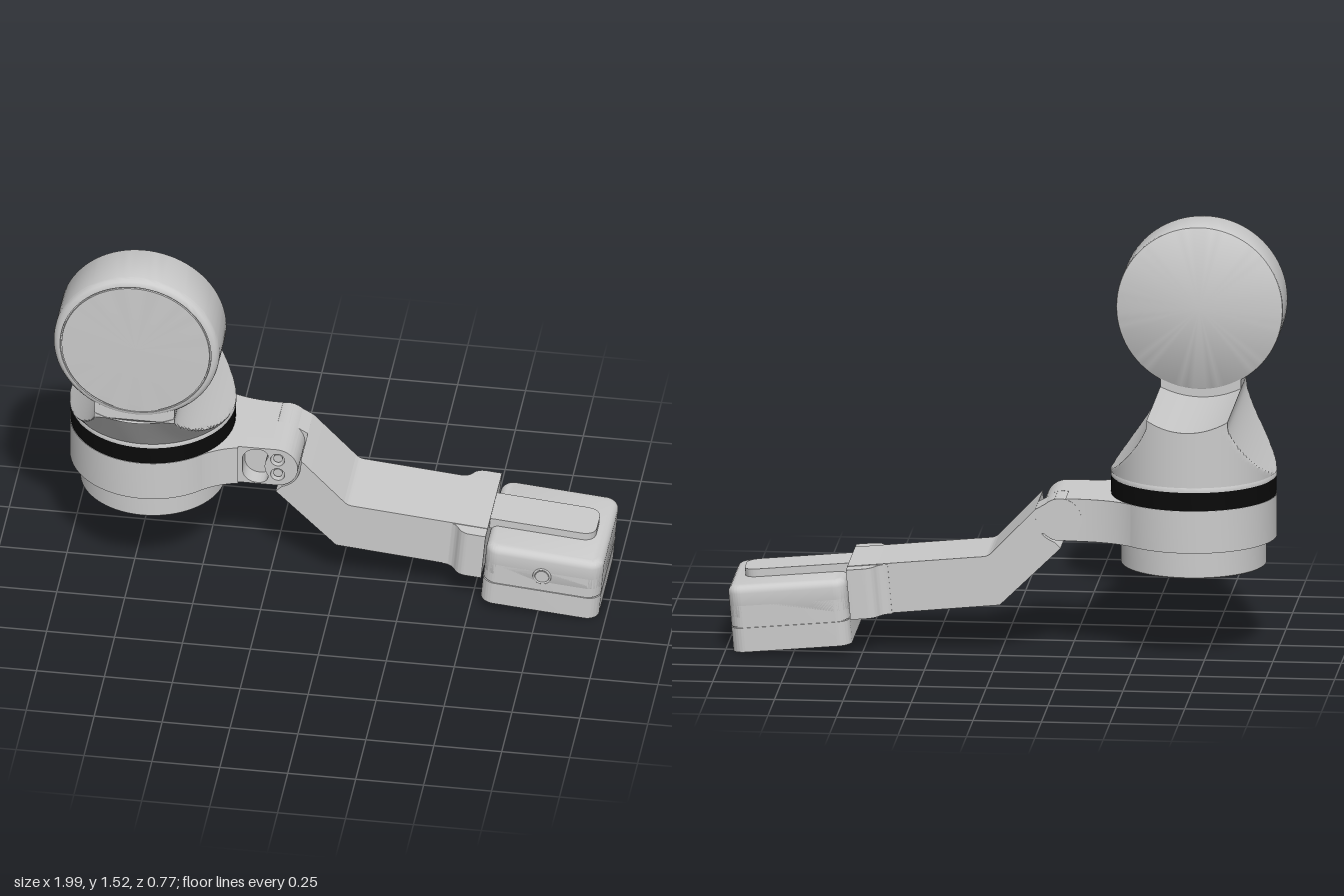
import * as THREE from 'three';
import { toCreasedNormals } from 'three/addons/utils/BufferGeometryUtils.js';

const grey = new THREE.MeshStandardMaterial({ color: 0xcccccc });
const black = new THREE.MeshStandardMaterial({ color: 0x0a0a0a });
const CX = -0.695, CZ = -0.08, R = 0.303; // axis and radius of the round base

function add(parent, name, geometry, material = grey) {
  const mesh = new THREE.Mesh(geometry, material);
  mesh.name = name;
  parent.add(mesh);
  return mesh;
}
const smooth = (g) => toCreasedNormals(g, 0.6);
const poly = (pts) => new THREE.Shape(pts.map(([x, y]) => new THREE.Vector2(x, y)));

// Side profile (x, y) extruded between two z values
function sideExtrude(shape, z0, z1) {
  const g = new THREE.ExtrudeGeometry(shape, { depth: z1 - z0, bevelEnabled: false, curveSegments: 24 });
  return smooth(g.translate(0, 0, z0));
}
// Plan shape (x, -z) extruded between two heights, optionally with rounded rims
function planExtrude(shape, y0, y1, bevel = 0) {
  const g = new THREE.ExtrudeGeometry(shape, {
    depth: y1 - y0 - 2 * bevel, curveSegments: 16, bevelEnabled: bevel > 0,
    bevelThickness: bevel, bevelSize: bevel, bevelOffset: -bevel, bevelSegments: 5,
  });
  return smooth(g.rotateX(-Math.PI / 2).translate(0, y0 + bevel, 0));
}
function roundedRect(x0, y0, x1, y1, r) {
  const s = new THREE.Shape();
  s.absarc(x1 - r, y0 + r, r, -Math.PI / 2, 0);
  s.absarc(x1 - r, y1 - r, r, 0, Math.PI / 2);
  s.absarc(x0 + r, y1 - r, r, Math.PI / 2, Math.PI);
  s.absarc(x0 + r, y0 + r, r, Math.PI, Math.PI * 1.5);
  return s;
}
function lathe(pts) {
  return smooth(new THREE.LatheGeometry(pts.map(([r, y]) => new THREE.Vector2(r, y)), 80));
}

// Shoulder: round at the foot, pinched to a saddle-topped neck that leans forward
function shoulderGeometry() {
  const N = 144, rows = 24, y0 = 0.685, y1 = 0.925, pos = [], idx = [];
  for (let j = 0; j <= rows; j++) {
    const y = y0 + ((y1 - y0) * j) / rows;
    const u = Math.min(1, (y - y0) / 0.22);
    const w = 0.148 + (R - 0.148) * Math.pow(1 - u, 1.4);
    for (let i = 0; i < N; i++) {
      const t = (i / N) * Math.PI * 2;
      const x = THREE.MathUtils.clamp(R * Math.sin(t), -w, w);
      const edge = Math.sqrt(Math.max(1e-8, R * R - x * x));
      let z = R * Math.cos(t);
      if (z > 0) z = Math.min(1, z / edge) * THREE.MathUtils.lerp(edge, 0.465, u);
      const saddle = 1.22 - Math.sqrt(0.33 * 0.33 - x * x);
      pos.push(CX + x, Math.min(y, saddle), CZ + z);
    }
  }
  for (let j = 0; j < rows; j++) for (let i = 0; i < N; i++) {
    const a = j * N + i, b = j * N + ((i + 1) % N);
    idx.push(a, b, b + N, a, b + N, a + N);
  }
  // Saddle top joins front and back points of equal x
  const top = (i) => rows * N + ((i + N) % N);
  for (let i = -N / 4; i < N / 4; i++) {
    const f0 = top(i), f1 = top(i + 1), b0 = top(N / 2 - i), b1 = top(N / 2 - i - 1);
    idx.push(f0, f1, b1, f0, b1, b0);
  }
  const g = new THREE.BufferGeometry();
  g.setAttribute('position', new THREE.Float32BufferAttribute(pos, 3));
  g.setIndex(idx);
  return smooth(g);
}

function createHead() {
  const head = new THREE.Group();
  head.name = 'head';
  // Round housing with softened front rim and a fine groove
  const disc = add(head, 'discHousing', lathe([
    [0, 0], [0.297, 0], [0.303, 0.004], [0.305, 0.01], [0.305, 0.18], [0.303, 0.19], [0.296, 0.2],
    [0.287, 0.206], [0.278, 0.207], [0.277, 0.201], [0.273, 0.201], [0.272, 0.207], [0, 0.207],
  ]));
  disc.rotation.x = Math.PI / 2;
  disc.position.set(-0.69, 1.22, 0.178);
  add(head, 'shoulder', shoulderGeometry());
  // Short neck bridging the shoulder and the disc
  const neck = poly([[-0.18, 0.87], [-0.18, 0.97], [-0.38, 0.97], [-0.383, 0.905], [-0.352, 0.87]]);
  const g = new THREE.ExtrudeGeometry(neck, { depth: 0.294, bevelEnabled: false });
  add(head, 'neck', g.rotateY(Math.PI / 2).translate(CX - 0.147, 0, 0));
  return head;
}

function createBase() {
  const base = new THREE.Group();
  base.name = 'base';
  const turned = (name, pts, mat) => add(base, name, lathe(pts), mat).position.set(CX, 0, CZ);
  turned('foot', [[0, 0.347], [0.18, 0.347], [0.18, 0.337], [0.262, 0.337], [0.265, 0.34], [0.265, 0.445]]);
  turned('holderRing', [[0, 0.44], [R, 0.44], [R, 0.598], [0, 0.598]]);
  turned('blackBand', [[R - 0.002, 0.596], [R - 0.002, 0.668]], black);
  turned('lip', [[0.28, 0.667], [R, 0.667], [R, 0.68], [R - 0.003, 0.686], [0.28, 0.686]]);

  // Bracket flowing out of the ring
  const s = new THREE.Shape();
  s.moveTo(-0.6, -CZ - 0.2);
  s.lineTo(-0.485, -CZ - 0.218);
  s.quadraticCurveTo(-0.425, -CZ - 0.168, -0.36, -CZ - 0.156);
  s.lineTo(-0.36, 0);
  s.lineTo(-0.24, 0);
  s.lineTo(-0.24, 0.232);
  s.quadraticCurveTo(-0.4, -CZ + 0.15, -0.485, -CZ + 0.218);
  s.lineTo(-0.6, -CZ + 0.2);
  add(base, 'bracket', planExtrude(s, 0.44, 0.598));

  // Hinge tab with a kidney pocket and two screw holes
  const tab = () => {
    const t = new THREE.Shape();
    t.moveTo(-0.36, 0.44);
    t.lineTo(-0.22, 0.44);
    t.absarc(-0.22, 0.519, 0.079, -Math.PI / 2, Math.PI / 2);
    t.lineTo(-0.36, 0.598);
    return t;
  };
  add(base, 'hingeTabCore', sideExtrude(tab(), -0.11, 0));
  const face = tab();
  const pocket = new THREE.Path();
  pocket.moveTo(-0.345, 0.5);
  pocket.bezierCurveTo(-0.345, 0.43, -0.245, 0.43, -0.25, 0.48);
  pocket.quadraticCurveTo(-0.275, 0.52, -0.25, 0.56);
  pocket.bezierCurveTo(-0.245, 0.605, -0.345, 0.605, -0.345, 0.54);
  face.holes.push(pocket);
  for (const y of [0.488, 0.552]) {
    face.holes.push(new THREE.Path().absarc(-0.215, y, 0.026, 0, Math.PI * 2));
    const screw = add(base, 'screw', new THREE.CylinderGeometry(0.017, 0.017, 0.06, 24));
    screw.rotation.x = Math.PI / 2;
    screw.position.set(-0.215, y, 0.026);
  }
  add(base, 'hingeTabFace', sideExtrude(face, 0, 0.066));
  return base;
}

function createArm() {
  const arm = new THREE.Group();
  arm.name = 'arm';
  // Bent bar with a hollow following the hinge
  const s = new THREE.Shape();
  s.moveTo(-0.222, 0.412);
  s.lineTo(0, 0.195);
  s.lineTo(0.54, 0.142);
  s.lineTo(0.558, 0.327);
  s.lineTo(0.06, 0.375);
  s.quadraticCurveTo(0.04, 0.377, 0.025, 0.395);
  s.lineTo(-0.13, 0.557);
  s.quadraticCurveTo(-0.125, 0.46, -0.2, 0.435);
  add(arm, 'bentBar', sideExtrude(s, -0.235, 0.065));
  // Rear knuckle
  const knuckle = add(arm, 'rearKnuckle', new THREE.CylinderGeometry(0.079, 0.079, 0.124, 40));
  knuckle.rotation.x = Math.PI / 2;
  knuckle.position.set(-0.22, 0.519, -0.172);
  add(arm, 'knuckleWeb', sideExtrude(poly([[-0.2, 0.455], [-0.1, 0.48], [-0.128, 0.555], [-0.2, 0.596]]), -0.234, -0.11));
  return arm;
}

// Box at the arm's end, tilted with the arm
function createEndUnit() {
  const unit = new THREE.Group();
  unit.name = 'endUnit';
  unit.position.set(0.765, 0.152, -0.087);
  unit.rotation.z = -0.09;
  const box = (inset) => roundedRect(-0.218 + inset, -0.221 + inset, 0.218 - inset, 0.221 - inset, 0.05);
  add(unit, 'boxLower', planExtrude(box(0), -0.123, -0.033));
  add(unit, 'boxSeam', planExtrude(box(0.004), -0.04, -0.02));
  add(unit, 'boxUpper', planExtrude(box(0.001), -0.029, 0.05));
  add(unit, 'boxTop', planExtrude(box(0.001), -0.02, 0.123, 0.028));
  // Tongue gripping the top
  const tongue = new THREE.Shape();
  tongue.moveTo(-0.26, -0.082);
  tongue.lineTo(0.11, -0.082);
  tongue.quadraticCurveTo(0.165, -0.082, 0.165, -0.03);
  tongue.lineTo(0.165, 0.03);
  tongue.quadraticCurveTo(0.165, 0.082, 0.11, 0.082);
  tongue.lineTo(-0.26, 0.082);
  add(unit, 'tongue', planExtrude(tongue, 0.11, 0.152));
  // Flared clamp across the end of the bar
  const c = new THREE.Shape();
  c.moveTo(-0.37, -0.15);
  c.quadraticCurveTo(-0.34, -0.15, -0.325, -0.175);
  c.quadraticCurveTo(-0.31, -0.202, -0.28, -0.202);
  c.lineTo(-0.222, -0.202);
  c.lineTo(-0.222, 0.202);
  c.lineTo(-0.28, 0.202);
  c.quadraticCurveTo(-0.31, 0.202, -0.325, 0.175);
  c.quadraticCurveTo(-0.34, 0.15, -0.37, 0.15);
  add(unit, 'clamp', planExtrude(c, -0.032, 0.154));
  // Round button on the front
  add(unit, 'buttonRing', new THREE.TorusGeometry(0.03, 0.004, 8, 40)).position.set(0, 0.032, 0.22);
  const button = add(unit, 'button', new THREE.CylinderGeometry(0.024, 0.024, 0.01, 32));
  button.rotation.x = Math.PI / 2;
  button.position.set(0, 0.032, 0.218);
  return unit;
}

export function createModel() {
  const model = new THREE.Group();
  model.name = 'model';
  model.add(createHead(), createBase(), createArm(), createEndUnit());
  return model;
}
